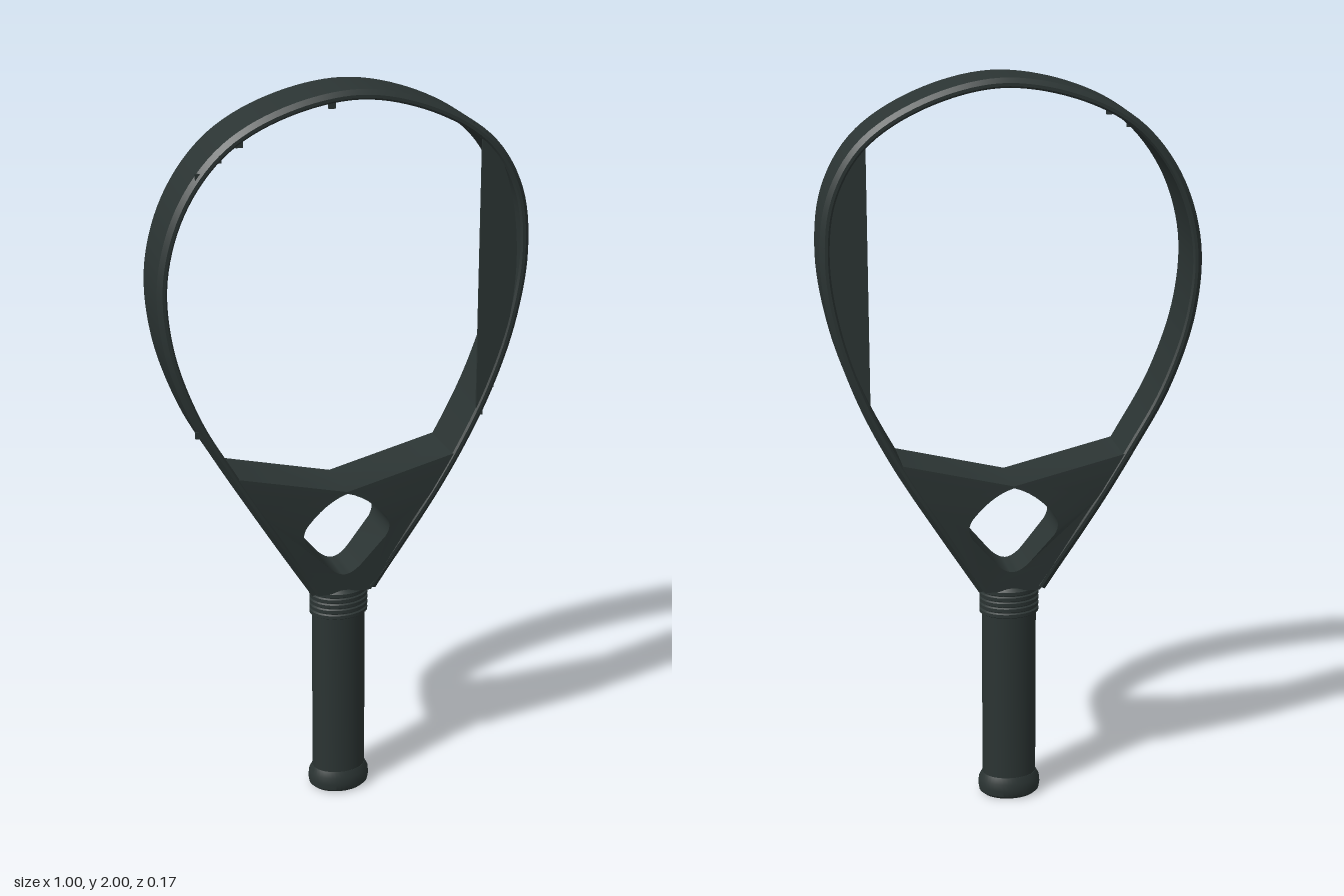
import * as THREE from 'three';
import { toCreasedNormals } from 'three/addons/utils/BufferGeometryUtils.js';

// Half depth of the head: full above the throat, slimmer towards the handle
const halfDepth = (y) => 0.056 + 0.027 * THREE.MathUtils.smoothstep(y, 0.58, 0.9);
const v2 = (pts) => pts.map(([x, y]) => new THREE.Vector2(x, y));

// Chamfered band swept along the outline of the head
function bandGeometry() {
  const outline = new THREE.CatmullRomCurve3([
    [0.09, 0.615], [0.2, 0.79], [0.327, 1.0], [0.41, 1.17], [0.47, 1.35], [0.498, 1.54],
    [0.478, 1.71], [0.40, 1.845], [0.25, 1.945], [0.04, 1.999], [-0.17, 1.965],
    [-0.33, 1.88], [-0.44, 1.74], [-0.495, 1.56], [-0.485, 1.37], [-0.42, 1.17],
    [-0.327, 1.0], [-0.2, 0.79], [-0.09, 0.615],
  ].map(([x, y]) => new THREE.Vector3(x, y, 0)), false, 'centripetal');
  // Cross-section: inward distance, fraction of half depth
  const section = [[0, -0.85], [0, 0.85], [0.012, 1], [0.02, 1], [0.025, 0.94],
    [0.025, -0.94], [0.02, -1], [0.012, -1]];
  const steps = 140, n = section.length, pos = [], index = [];
  for (let i = 0; i <= steps; i++) {
    const p = outline.getPointAt(i / steps), t = outline.getTangentAt(i / steps);
    for (const [d, f] of section) pos.push(p.x - t.y * d, p.y + t.x * d, f * halfDepth(p.y));
  }
  for (let i = 0; i < steps; i++) {
    for (let j = 0; j < n; j++) {
      const a = i * n + j, b = i * n + (j + 1) % n;
      index.push(a, a + n, b + n, a, b + n, b);
    }
  }
  // End caps
  const e = steps * n;
  for (let j = 1; j < n - 1; j++) index.push(0, j, j + 1, e, e + j + 1, e + j);
  const g = new THREE.BufferGeometry();
  g.setAttribute('position', new THREE.Float32BufferAttribute(pos, 3));
  g.setIndex(index);
  return toCreasedNormals(g, 0.5);
}

// Solid throat with a diamond opening, tapered in depth
function throatGeometry() {
  const side = [[0.075, 0.615], [0.13, 0.70], [0.187, 0.79], [0.25, 0.895], [0.318, 1.0]];
  const mirrored = side.map(([x, y]) => [-x, y]).reverse();
  const shape = new THREE.Shape(v2([...side, [0, 0.922], ...mirrored]));
  const hole = new THREE.Path();
  hole.moveTo(0, 0.672);
  hole.quadraticCurveTo(-0.025, 0.672, -0.055, 0.71);
  hole.lineTo(-0.11, 0.775);
  hole.quadraticCurveTo(-0.13, 0.805, -0.11, 0.835);
  hole.quadraticCurveTo(-0.06, 0.9, 0, 0.917);
  hole.quadraticCurveTo(0.06, 0.9, 0.11, 0.835);
  hole.quadraticCurveTo(0.13, 0.805, 0.11, 0.775);
  hole.lineTo(0.055, 0.71);
  hole.quadraticCurveTo(0.025, 0.672, 0, 0.672);
  shape.holes.push(hole);
  const g = new THREE.ExtrudeGeometry(shape, { depth: 2, bevelEnabled: false, curveSegments: 6 });
  g.translate(0, 0, -1);
  const p = g.attributes.position;
  for (let i = 0; i < p.count; i++) p.setZ(i, p.getZ(i) * halfDepth(p.getY(i)) * 0.97);
  return toCreasedNormals(g, 0.5);
}

export function createModel() {
  const model = new THREE.Group();
  const charcoal = new THREE.MeshStandardMaterial({ color: 0x2b3433 });
  charcoal.name = 'charcoal';
  const add = (name, geometry) => {
    const mesh = new THREE.Mesh(geometry, charcoal);
    mesh.name = name;
    model.add(mesh);
    return mesh;
  };

  add('headFrame', bandGeometry());
  add('throat', throatGeometry());

  // Thin face segment at the front of the head
  const segment = new THREE.Shape();
  segment.moveTo(0.36, 1.1);
  segment.splineThru(v2([[0.415, 1.22], [0.448, 1.36], [0.463, 1.51], [0.452, 1.66], [0.415, 1.79], [0.36, 1.87]]));
  segment.closePath();
  add('faceSegment', new THREE.ExtrudeGeometry(segment, { depth: 0.006, bevelEnabled: false }))
    .position.z = 0.073;

  // Small tabs along the inner front edge
  [[0.37, 1.105], [0.4, 1.18], [0.33, 1.885], [0.365, 1.86], [-0.04, 1.965], [-0.28, 1.885],
    [-0.335, 1.85], [-0.385, 1.81], [-0.4, 1.13]].forEach(([x, y]) => {
    add('edgeTab', new THREE.BoxGeometry(0.018, 0.018, 0.008)).position.set(x, y, 0.073);
  });

  // Oval handle parts, flattened front to back
  const turned = (name, profile) => {
    const g = new THREE.LatheGeometry(v2(profile), 40);
    g.scale(1, 1, 0.8);
    add(name, toCreasedNormals(g, 0.6));
  };
  turned('buttCap', [[0, 0], [0.074, 0], [0.083, 0.008], [0.086, 0.025], [0.084, 0.045], [0.075, 0.062], [0, 0.062]]);
  turned('grip', [[0, 0.05], [0.074, 0.05], [0.074, 0.55], [0, 0.55]]);

  // Ribbed collar
  const ribs = [[0, 0.538]];
  for (let i = 0; i < 5; i++) {
    const y = 0.538 + i * 0.016;
    ribs.push([0.076, y], [0.081, y + 0.003], [0.081, y + 0.012], [0.076, y + 0.015]);
  }
  ribs.push([0.066, 0.628], [0, 0.628]);
  turned('collar', ribs);

  return model;
}
